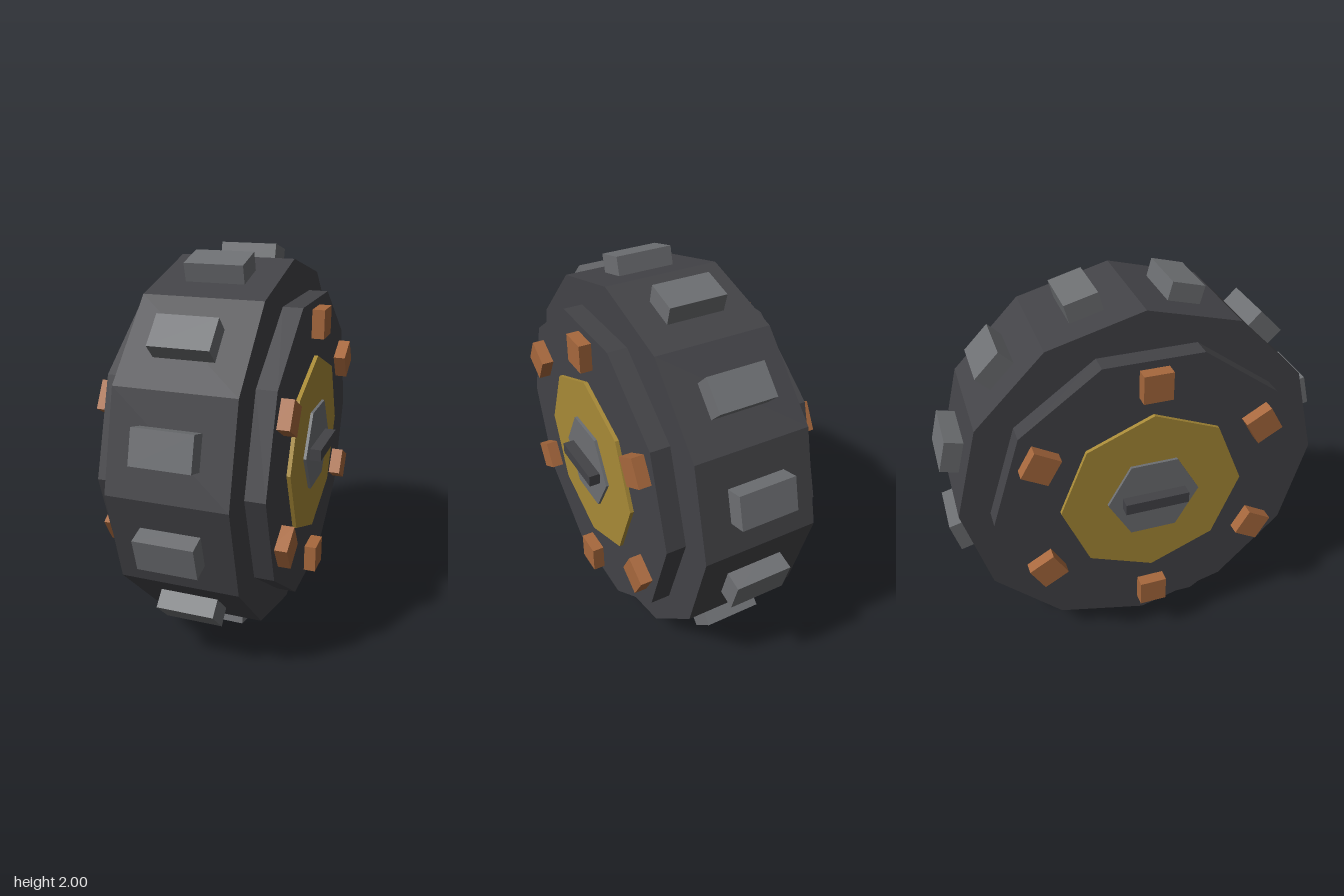
import * as THREE from 'three';

const flat = (name, color) => {
  const m = new THREE.MeshStandardMaterial({ color, flatShading: true });
  m.name = name;
  return m;
};

export function createModel() {
  const rubber = flat('darkRubber', 0x434347);
  const steel = flat('steel', 0x6d6f72);
  const brass = flat('brass', 0xa88a37);
  const copper = flat('copper', 0xa7683d);

  // The wheel turns about the x axis through its own centre
  const wheel = new THREE.Group();
  wheel.name = 'wheel';
  wheel.position.y = 1;

  const add = (name, geometry, material, x = 0, parent = wheel) => {
    const mesh = new THREE.Mesh(geometry, material);
    mesh.name = name;
    mesh.position.x = x;
    parent.add(mesh);
    return mesh;
  };
  const disc = (radius, width, sides) =>
    new THREE.CylinderGeometry(radius, radius, width, sides).rotateZ(Math.PI / 2);

  // Place a part at an angle around the axle, measured from the top
  const around = (mesh, angle, radius) => {
    mesh.position.y = Math.cos(angle) * radius;
    mesh.position.z = Math.sin(angle) * radius;
    mesh.rotation.x = angle;
  };

  // Tyre and the axle running through it
  add('tyre', disc(0.952, 0.594, 12), rubber);
  add('axle', disc(0.239, 0.896, 6), steel);

  // Tread blocks, one on each flat of the tyre
  const tread = new THREE.BoxGeometry(0.296, 0.16, 0.17);
  for (let i = 0; i < 12; i++) {
    around(add('treadBlock', tread, steel), ((i + 0.5) * Math.PI) / 6, 0.933);
  }

  // Side plates, hub caps, handles and bolts on both sides
  const bolt = new THREE.BoxGeometry(0.09, 0.144, 0.144);
  for (const side of [1, -1]) {
    const face = new THREE.Group();
    face.name = side > 0 ? 'leftFace' : 'rightFace';
    wheel.add(face);
    add('sidePlate', disc(0.8, 0.1, 10), rubber, side * 0.363, face);
    add('hubCap', disc(0.475, 0.05, 8), brass, side * 0.408, face);
    add('handle', new THREE.BoxGeometry(0.08, 0.06, 0.33), rubber, side * 0.466, face);
    for (let i = 0; i < 6; i++) {
      around(add('bolt', bolt, copper, side * 0.431, face), (i * Math.PI) / 3, 0.65);
    }
  }

  const model = new THREE.Group();
  model.name = 'model';
  model.add(wheel);
  return model;
}
